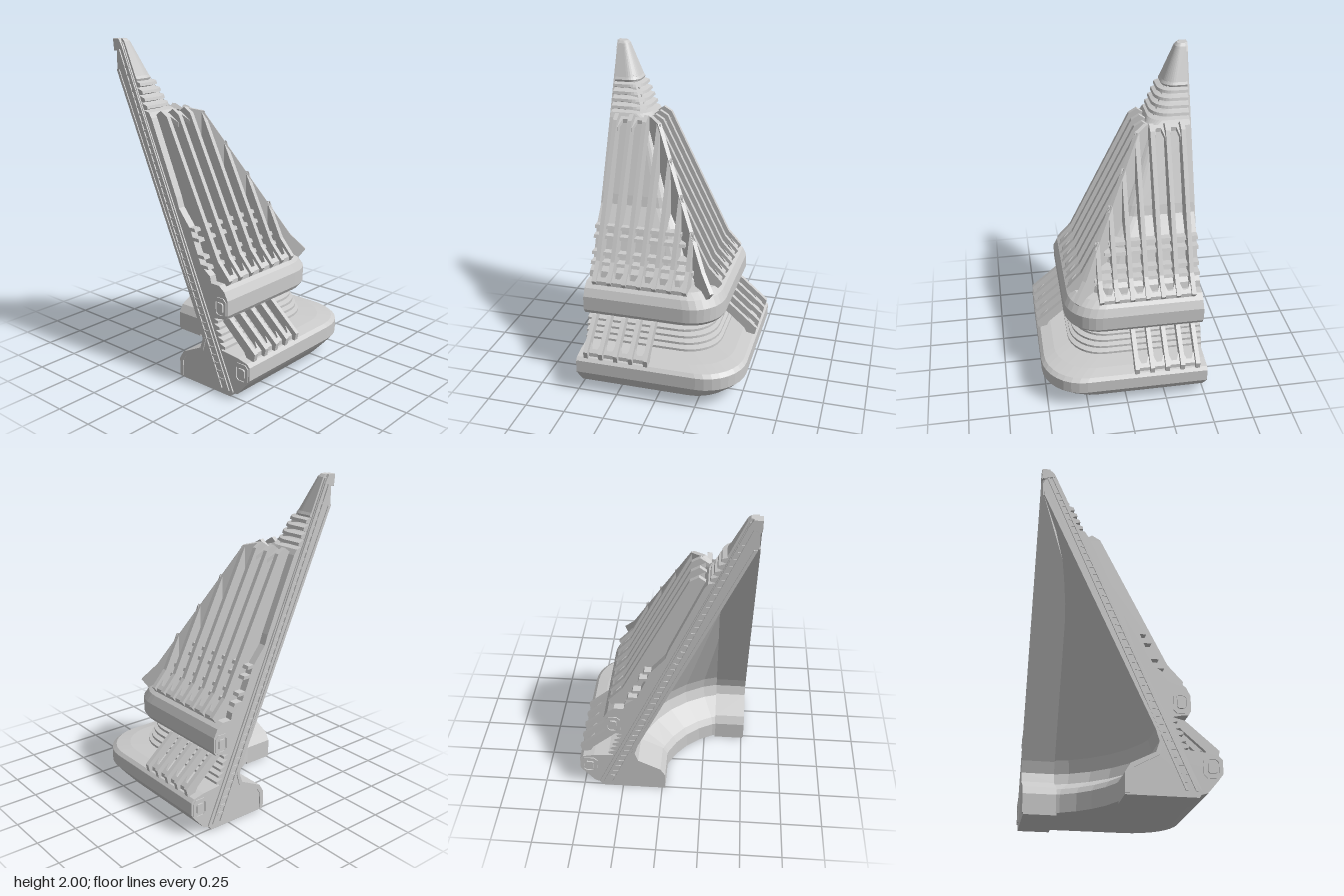
import * as THREE from 'three';

// The tower is one quarter of a square spire. u and w are the distances from
// its two cut planes: x = u - 0.5, z = 0.5 - w. It mirrors across u = w.
const mat = new THREE.MeshStandardMaterial({ color: 0xcccccc, flatShading: true, side: THREE.DoubleSide });

// Closed profile of [distance, height, corner roundness] swept round the corner
function sweepQuarter(profile, steps = 8) {
  const n = profile.length, row = steps + 3, pos = [], index = [];
  for (const [d, y, f] of profile) {
    const r = d * f, path = [[d, 0]];
    for (let k = 0; k <= steps; k++) {
      const a = (k / steps) * Math.PI / 2;
      path.push([d - r + r * Math.cos(a), d - r + r * Math.sin(a)]);
    }
    path.push([0, d]);
    for (const [u, w] of path) pos.push(u - 0.5, y, 0.5 - w);
  }
  for (let i = 0; i < n; i++) {
    for (let j = 0; j < row - 1; j++) {
      const a = i * row + j, d = ((i + 1) % n) * row + j;
      index.push(a, a + 1, d + 1, a, d + 1, d);
    }
  }
  const flat = profile.map(([d, y]) => new THREE.Vector2(d, y));
  for (const [a, b, c] of THREE.ShapeUtils.triangulateShape(flat, [])) {
    index.push(a * row, b * row, c * row);
    index.push(a * row + row - 1, c * row + row - 1, b * row + row - 1);
  }
  const geo = new THREE.BufferGeometry();
  geo.setAttribute('position', new THREE.Float32BufferAttribute(pos, 3));
  geo.setIndex(index);
  const out = geo.toNonIndexed();
  out.computeVertexNormals();
  return out;
}

const shapeOf = (pts) => new THREE.Shape(pts.map(([x, y]) => new THREE.Vector2(x, y)));

// Upright plate: polygon in (u, y), spanning w0 to w1
function upright(pts, w0, w1, holes = []) {
  const shape = shapeOf(pts);
  shape.holes = holes.map(shapeOf);
  return new THREE.ExtrudeGeometry(shape, { depth: w1 - w0, bevelEnabled: false })
    .translate(-0.5, 0, 0.5 - w1);
}

// Same geometry reflected across the diagonal, with its winding restored
function reflected(geo) {
  const g = geo.index ? geo.toNonIndexed() : geo.clone();
  const p = g.attributes.position;
  for (let i = 0; i < p.count; i += 3) {
    const v = [0, 2, 1].map((k) => [-p.getZ(i + k), p.getY(i + k), -p.getX(i + k)]);
    v.forEach((c, k) => p.setXYZ(i + k, ...c));
  }
  g.computeVertexNormals();
  return g;
}

export function createModel() {
  const model = new THREE.Group();
  model.name = 'quarterSpire';
  const add = (name, geo) => {
    const mesh = new THREE.Mesh(geo, mat);
    mesh.name = name;
    model.add(mesh);
  };
  const addPair = (name, geo) => {
    add(name + 'Left', geo);
    add(name + 'Back', reflected(geo));
  };

  // Hollow body: base, stacked rings, band, sloped walls, neck rings, tip and round interior
  const B = 0.26, S = 0.25, N = 0.5;
  const body = [[0.513, 0.015, 1], [0.88, 0.015, B], [0.93, 0.03, B], [0.99, 0.1, B], [1.02, 0.14, B],
    [1.02, 0.22, B], [1, 0.24, B], [0.93, 0.255, B], [0.81, 0.265, B]];
  for (let i = 0; i < 5; i++) {
    const y = 0.27 + i * 0.037, d = 0.835 - i * 0.014;
    body.push([d - 0.03, y, B], [d, y + 0.008, B], [d, y + 0.023, B], [d - 0.03, y + 0.031, B]);
  }
  body.push([0.8, 0.46, B], [0.84, 0.465, B], [0.855, 0.49, B], [0.855, 0.58, B], [0.83, 0.63, B],
    [0.79, 0.66, B], [0.73, 0.66, S], [0.72, 0.7, S], [0.65, 0.75, S], [0.6, 0.87, S], [0.57, 0.95, S],
    [0.48, 1.06, S], [0.46, 1.12, S], [0.27, 1.56, S], [0.25, 1.59, 0.4]);
  for (let i = 0; i < 4; i++) {
    const y = 1.6 + i * 0.042, d = 0.24 - i * 0.018;
    body.push([d - 0.03, y, N], [d, y + 0.01, N], [d - 0.005, y + 0.027, N], [d - 0.035, y + 0.036, N]);
  }
  body.push([0.155, 1.775, N], [0.145, 1.79, N], [0.06, 1.985, N], [0.045, 2, N], [0.001, 2, N],
    [0.001, 1.93, 1], [0.255, 1.375, 1], [0.685, 0.38, 1], [0.7, 0.3, 1], [0.675, 0.23, 1],
    [0.54, 0.16, 1], [0.513, 0.12, 1]);
  add('body', sweepQuarter(body));

  // Cut-face frames with a foot; their depth narrows towards the tip
  const frame = upright([[0.48, 0], [0.88, 0], [0.9, 0.03], [0.2, 1.625], [0.05, 1.98], [0, 2], [0, 1.82],
    [0.2, 1.375], [0.65, 0.37], [0.67, 0.3], [0.65, 0.24], [0.51, 0.17], [0.48, 0.12]], -0.008, 0.18);
  const fp = frame.attributes.position;
  for (let i = 0; i < fp.count; i++) {
    const w = 0.5 - fp.getZ(i);
    if (w > 0.1) fp.setZ(i, 0.5 - Math.min(0.18, 0.9 * (fp.getX(i) + 0.5)));
  }
  addPair('cutFrame', frame);

  // Raised rails along the sloped edges of the cut faces, joined by rungs
  for (const [lo, hi, t] of [[0.875, 0.05, 0.014], [0.82, 0.018, 0.014]]) {
    addPair('edgeRail', upright([[lo - t, 0.035], [lo, 0.035], [hi, 1.965], [hi - t, 1.965]], -0.016, 0));
  }
  for (let i = 0; i < 40; i++) {
    const y = 0.08 + i * 0.045, u = 0.82 - 0.4155 * (y - 0.035);
    addPair('railRung', upright([[u, y], [u + 0.035, y], [u + 0.03, y + 0.014], [u - 0.005, y + 0.014]], -0.013, 0));
  }
  addPair('footRim', upright([[0.02, 1.82], [0.67, 0.37], [0.69, 0.3], [0.67, 0.225], [0.53, 0.15], [0.505, 0.11],
    [0.505, 0.01], [0.48, 0.01], [0.48, 0.12], [0.51, 0.17], [0.65, 0.24], [0.67, 0.3], [0.65, 0.37],
    [0, 1.82]], -0.014, 0));

  // Pronged ends of the frames at the tip
  addPair('tipProng', upright([[-0.012, 1.93], [0.06, 1.95], [0.03, 2], [-0.018, 2]], -0.018, 0.015));

  // Hollow end brackets on the band and the base
  const oct = (u, y, a, b, c) => [[u - a + c, y - b], [u + a - c, y - b], [u + a, y - b + c], [u + a, y + b - c],
    [u + a - c, y + b], [u - a + c, y + b], [u - a, y + b - c], [u - a, y - b + c]];
  for (const [u, y, a, b] of [[0.8, 0.53, 0.045, 0.06], [0.96, 0.17, 0.05, 0.06]]) {
    addPair('endBracket', upright(oct(u, y, a, b, 0.02), -0.006, 0, [oct(u, y, a - 0.014, b - 0.014, 0.014)]));
    addPair('bracketBlock', upright(oct(u, y, a * 0.5, b * 0.5, 0.008), -0.01, 0));
  }

  // Tall ribs: each begins where its outer edge meets the diagonal
  const outerY = (u) => 1.57 - (u - 0.35) * 2.03;
  const innerY = (u) => 1.55 - (u - 0.23) * 2.13;
  const ribProfile = (w) => [
    ...(w < 0.3 ? [[0.23, 1.55]] : [[w, innerY(w)]]),
    [0.62, 0.7], [0.72, 0.63], [0.78, 0.61], [0.83, 0.68], [0.74, 0.78],
    ...(w < 0.3 ? [[0.35, 1.57], [0.3, 1.6]] : [[Math.max(w, 0.351), outerY(Math.max(w, 0.351))]]),
  ];
  const spacing = 0.0955, ribW = (i) => 0.06 + i * spacing, half = 0.0135;
  for (let i = 0; i < 7; i++) {
    addPair('tallRib', upright(ribProfile(ribW(i)), ribW(i) - half, ribW(i) + half));
  }

  // Slim crossbars threading through the tall ribs
  for (const [u, y] of [[0.61, 0.94], [0.64, 0.885], [0.68, 0.79], [0.71, 0.735]]) {
    addPair('crossbar', upright([[u - 0.1, y], [u, y], [u - 0.008, y + 0.02], [u - 0.1, y + 0.02]], 0, u - 0.05));
  }

  // Short sloping ribs between band and base
  for (let i = 0; i < 5; i++) {
    addPair('lowerRib', upright([[0.77, 0.43], [0.94, 0.28], [0.96, 0.24], [1.01, 0.24], [1.02, 0.285],
      [0.83, 0.45], [0.79, 0.46]], ribW(i) - half, ribW(i) + half));
  }

  // Arched webs between neighbouring ribs, sloping down from y with the ribs;
  // the arch opens towards u0 and its crown is at u1
  function archWeb(i, u0, u1, y, slope) {
    const a = ribW(i), b = ribW(i + 1), m = 0.016, crown = u1 - 0.02 * Math.sign(u1 - u0);
    const shape = shapeOf([[u0, a], [u0, a + m], [crown, a + m + 0.016], [crown, b - m - 0.016],
      [u0, b - m], [u0, b], [u1, b], [u1, a]]);
    const geo = new THREE.ExtrudeGeometry(shape, { depth: 0.025, bevelEnabled: false })
      .rotateX(-Math.PI / 2);
    const p = geo.attributes.position;
    for (let k = 0; k < p.count; k++) p.setY(k, p.getY(k) + y - slope * (p.getX(k) - u0));
    geo.computeVertexNormals();
    return geo.translate(-0.5, 0, 0.5);
  }
  for (let i = 0; i < 6; i++) addPair('upperWeb', archWeb(i, 0.76, 0.81, 0.7, 1));
  for (let i = 0; i < 4; i++) addPair('lowerWeb', archWeb(i, 0.94, 0.99, 0.29, 0.9));
  for (let i = 0; i < 2; i++) addPair('topWeb', archWeb(i, 0.35, 0.27, 1.5, 0.6));

  // Thin fin on the diagonal corner
  const fin = [[0.2, 1.54], [0.52, 0.72], [0.68, 0.62], [0.765, 0.62], [0.8, 0.68], [0.73, 0.78], [0.35, 1.57], [0.28, 1.59]];
  add('cornerFin', new THREE.ExtrudeGeometry(shapeOf(fin.map(([u, y]) => [u * Math.SQRT2, y])),
    { depth: 0.026, bevelEnabled: false })
    .translate(0, 0, -0.013).rotateY(Math.PI / 4).translate(-0.5, 0, 0.5));

  return model;
}
